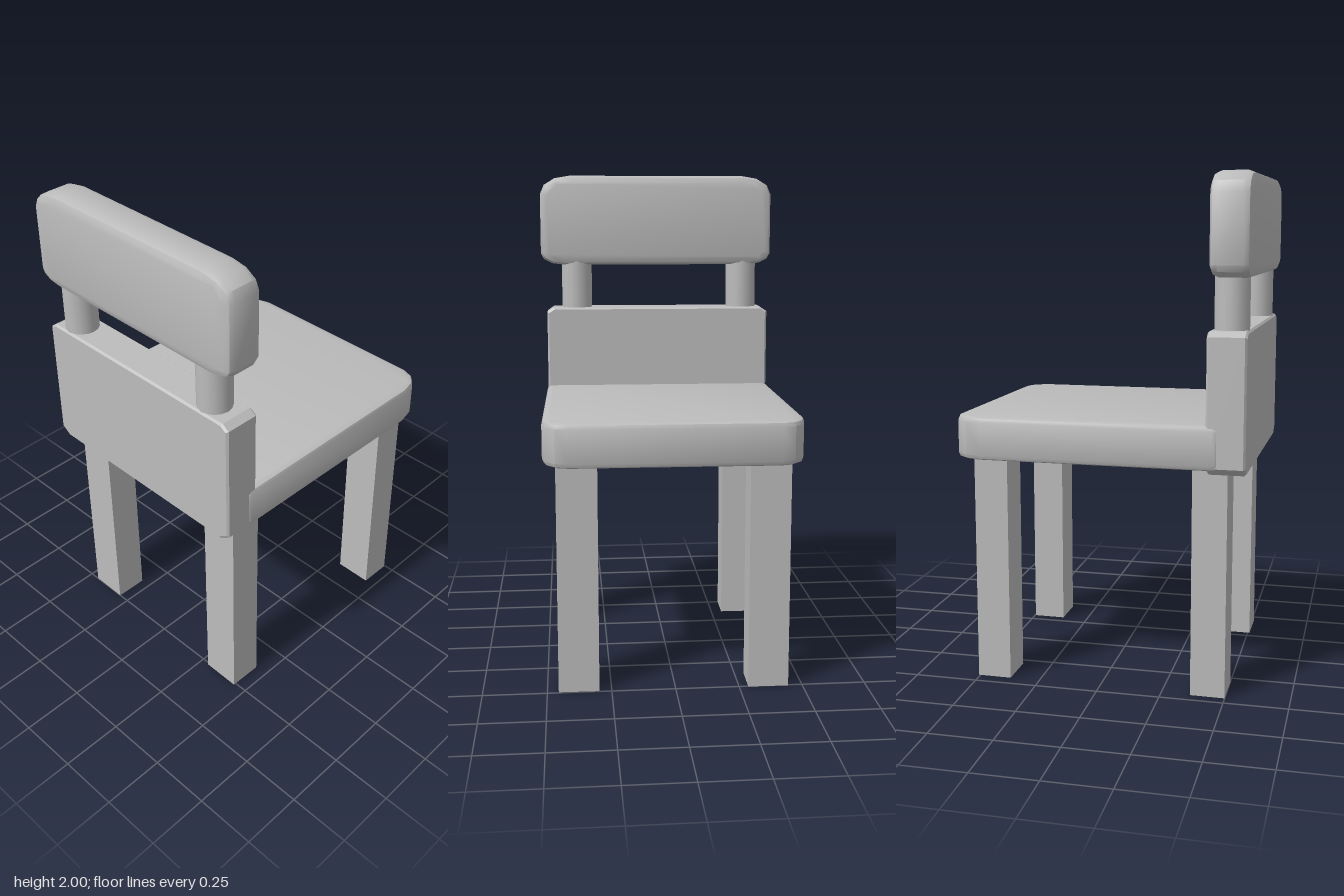
import * as THREE from 'three';
import { toCreasedNormals } from 'three/addons/utils/BufferGeometryUtils.js';

// Outline centred on the origin; corners are [rx, ry], counter-clockwise from the top right
function roundedOutline(w, h, corners, steps = 3) {
  const signs = [[1, 1], [-1, 1], [-1, -1], [1, -1]];
  const points = [];
  corners.forEach(([rx, ry], i) => {
    const [sx, sy] = signs[i];
    for (let k = 0; k <= steps; k++) {
      const a = (i + k / steps) * Math.PI / 2;
      points.push(new THREE.Vector2(
        sx * (w / 2 - rx) + rx * Math.cos(a),
        sy * (h / 2 - ry) + ry * Math.sin(a)));
    }
  });
  return new THREE.Shape(points);
}

// Slab of the given full thickness with bevelled rims, centred on the origin
function slab(shape, thickness, bevel, segments) {
  const g = new THREE.ExtrudeGeometry(shape, {
    depth: thickness - 2 * bevel, bevelEnabled: true, bevelThickness: bevel,
    bevelSize: bevel, bevelOffset: -bevel, bevelSegments: segments,
  });
  g.translate(0, 0, -(thickness - 2 * bevel) / 2);
  return g;
}

export function createModel() {
  const model = new THREE.Group();
  model.name = 'chair';
  const grey = new THREE.MeshStandardMaterial({ color: 0xbcbcbc });
  grey.name = 'plain grey';

  const chair = new THREE.Group();
  chair.name = 'chairBody';
  chair.rotation.y = -0.012; // the whole chair is turned very slightly
  model.add(chair);

  const add = (name, geometry, x, y, z) => {
    const mesh = new THREE.Mesh(geometry, grey);
    mesh.name = name;
    mesh.position.set(x, y, z);
    chair.add(mesh);
  };

  // Seat: rounded front corners, tight back corners hidden in the backrest
  const seat = slab(roundedOutline(1.06, 1.0,
    [[0.12, 0.1], [0.03, 0.03], [0.03, 0.03], [0.12, 0.1]]), 0.17, 0.02, 2);
  seat.rotateX(Math.PI / 2);
  add('seat', toCreasedNormals(seat, 0.6), 0.05, 0.985, 0);

  // Lower backrest: block with chamfered corners
  const back = slab(roundedOutline(0.99, 0.54,
    [[0.03, 0.02], [0.03, 0.02], [0.045, 0.03], [0.045, 0.03]], 1), 0.15, 0.008, 1);
  back.rotateY(-Math.PI / 2);
  add('lowerBackrest', toCreasedNormals(back, 0.4), -0.5, 1.15, 0);

  // Upper backrest: pill-like rail
  const rail = slab(roundedOutline(1.03, 0.39,
    [[0.13, 0.08], [0.13, 0.08], [0.1, 0.05], [0.1, 0.05]]), 0.155, 0.03, 2);
  rail.rotateY(-Math.PI / 2);
  add('upperBackrest', toCreasedNormals(rail, 0.6), -0.508, 1.805, 0.005);

  // Posts and legs, one pair per side
  for (const side of [1, -1]) {
    const prefix = side > 0 ? 'left' : 'right';
    add(prefix + 'Post', new THREE.CylinderGeometry(0.067, 0.067, 0.28, 16),
      -0.503, 1.52, side * 0.372 - 0.011);
    for (const [end, x] of [['Back', -0.437], ['Front', 0.433]]) {
      add(prefix + end + 'Leg', new THREE.BoxGeometry(0.135, 0.92, 0.158), x, 0.46, side * 0.371);
    }
  }
  return model;
}
